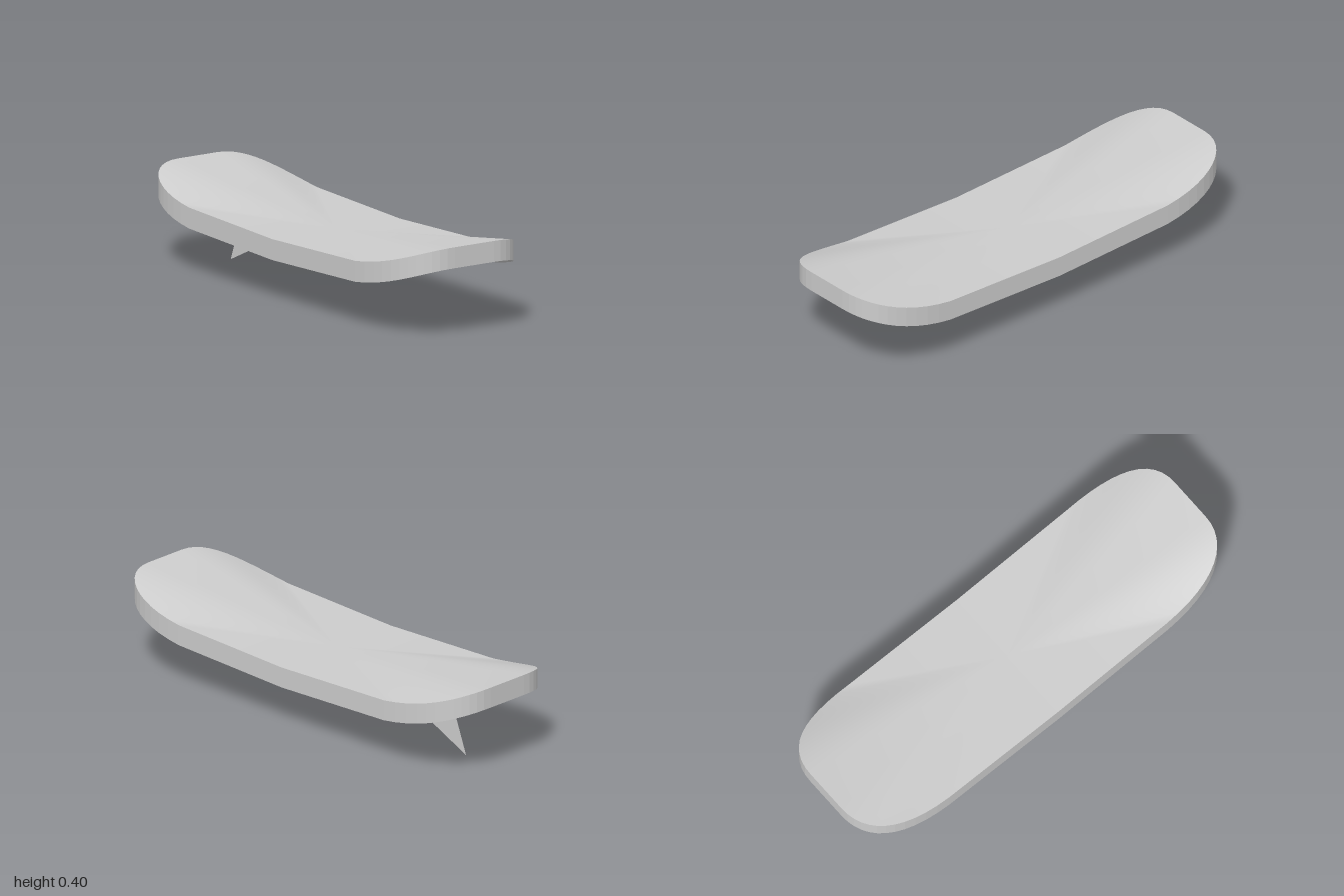
import * as THREE from 'three';

const THICKNESS = 0.09;
const HALF_WIDTH = 0.327;

// Rocker: underside height, rising toward nose and tail
const rocker = (z) => 0.185 + 0.125 * Math.pow(Math.abs(z), 3.5);

// Outline of the board, counter-clockwise seen from above
function makeRim() {
  const corner = new THREE.QuadraticBezierCurve(
    new THREE.Vector2(0.1, 1),
    new THREE.Vector2(HALF_WIDTH, 1),
    new THREE.Vector2(HALF_WIDTH, 0.6)
  ).getPoints(12);
  const back = [...corner].reverse().map((p) => new THREE.Vector2(p.x, -p.y));
  const leftSide = [new THREE.Vector2(0, 1), ...corner, new THREE.Vector2(HALF_WIDTH, 0), ...back];
  const rightSide = leftSide.map((p) => new THREE.Vector2(-p.x, -p.y));
  return [...leftSide, ...rightSide];
}

function makeGeometry(positions, index) {
  const g = new THREE.BufferGeometry();
  g.setAttribute('position', new THREE.Float32BufferAttribute(positions, 3));
  if (index) g.setIndex(index);
  g.computeVertexNormals();
  return g;
}

// Smooth fan from the board's centre to its rim
function fan(rim, lift, facesUp) {
  const positions = [0, rocker(0) + lift, 0];
  const index = [];
  rim.forEach((p, i) => {
    positions.push(p.x, rocker(p.y) + lift, p.y);
    const a = i + 1;
    const b = ((i + 1) % rim.length) + 1;
    index.push(0, ...(facesUp ? [a, b] : [b, a]));
  });
  return makeGeometry(positions, index);
}

// Faceted upright wall joining deck and underside
function wall(rim) {
  const positions = [];
  rim.forEach((p, i) => {
    const q = rim[(i + 1) % rim.length];
    const p0 = [p.x, rocker(p.y), p.y];
    const q0 = [q.x, rocker(q.y), q.y];
    const p1 = [p.x, p0[1] + THICKNESS, p.y];
    const q1 = [q.x, q0[1] + THICKNESS, q.y];
    positions.push(...p0, ...q0, ...q1, ...p0, ...q1, ...p1);
  });
  return makeGeometry(positions);
}

export function createModel() {
  const model = new THREE.Group();
  model.name = 'surfboard';
  const grey = new THREE.MeshStandardMaterial({ color: 0xcccccc, side: THREE.DoubleSide });
  grey.name = 'light grey';

  const add = (name, geometry) => {
    const mesh = new THREE.Mesh(geometry, grey);
    mesh.name = name;
    model.add(mesh);
  };

  // Board
  const rim = makeRim();
  add('deck', fan(rim, THICKNESS, true));
  add('underside', fan(rim, 0, false));
  add('rail', wall(rim));

  // Flat swept fin on the centre line near the tail
  add('fin', makeGeometry([0, 0.185, -0.36, 0, 0, -0.76, 0, 0.185, -0.69]));

  return model;
}
